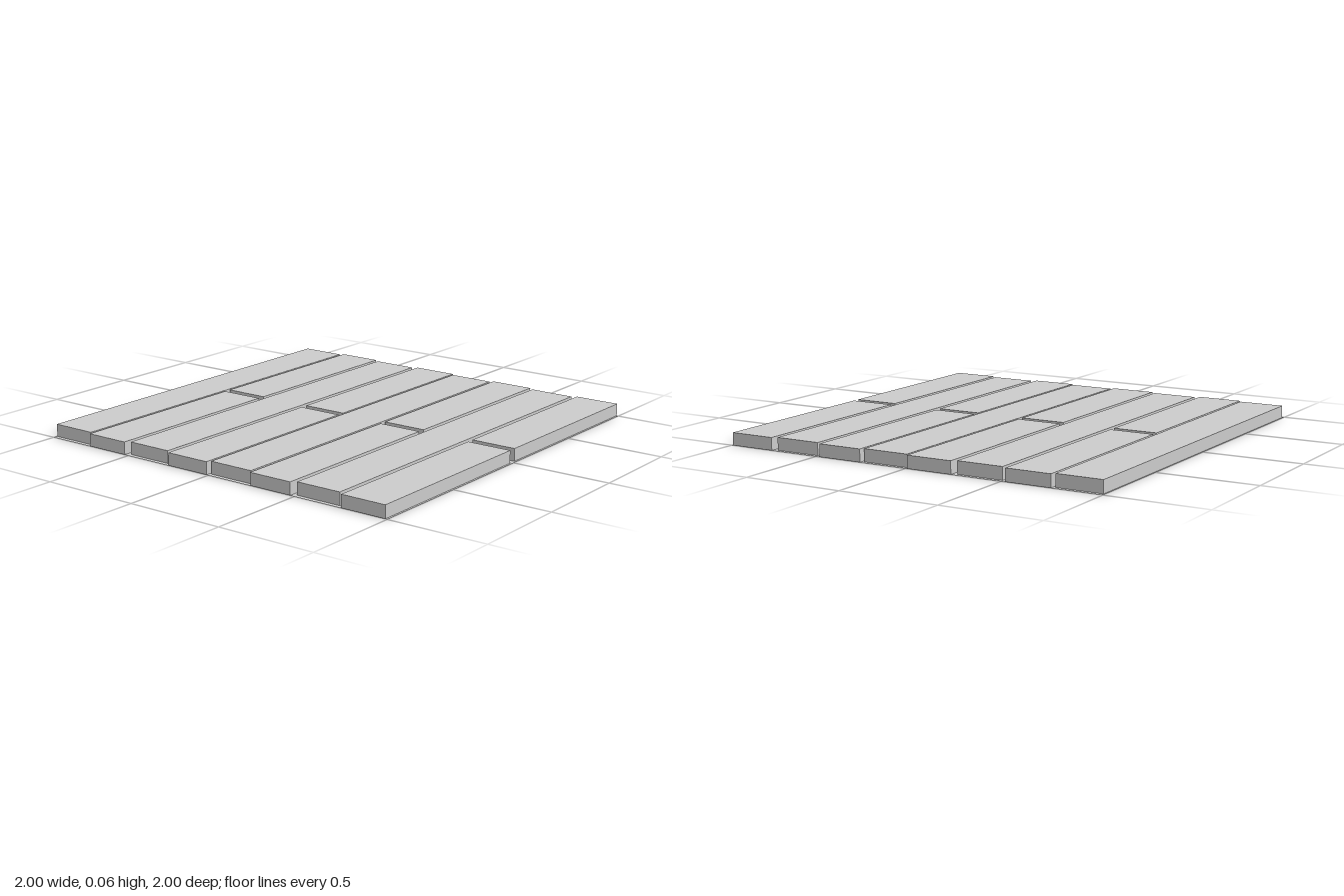
import * as THREE from 'three';

export function createModel() {
  const group = new THREE.Group();
  group.name = 'plankFloor';
  const material = new THREE.MeshStandardMaterial({ color: 0xcccccc, flatShading: true });
  const thickness = 0.063, lift = 0.001;

  // Thin sheet under the planks, visible through the gaps
  const base = new THREE.Mesh(
    new THREE.PlaneGeometry(2, 2).rotateX(-Math.PI / 2),
    new THREE.MeshStandardMaterial({ color: 0xcccccc, side: THREE.DoubleSide })
  );
  base.name = 'baseSheet';
  group.add(base);

  function addPlank(name, x0, x1, z0, z1) {
    const plank = new THREE.Mesh(new THREE.BoxGeometry(x1 - x0, thickness - lift, z1 - z0), material);
    plank.position.set((x0 + x1) / 2, (thickness + lift) / 2, (z0 + z1) / 2);
    plank.name = name;
    group.add(plank);
  }

  // Left and right edges of each row, with slightly uneven gaps
  const rows = [
    [-0.995, -0.763], [-0.75, -0.522], [-0.499, -0.265], [-0.242, -0.009],
    [0.003, 0.237], [0.25, 0.478], [0.501, 0.735], [0.758, 0.991],
  ];

  // Full-length planks alternate with rows split in the middle
  rows.forEach(([x0, x1], i) => {
    if (i % 2 === 0) {
      addPlank(`longPlank${i + 1}`, x0, x1, -0.983, 0.98);
    } else {
      addPlank(`backHalfPlank${i + 1}`, x0, x1, -1, -0.02);
      addPlank(`frontHalfPlank${i + 1}`, x0, x1, 0.017, 1);
    }
  });

  return group;
}
